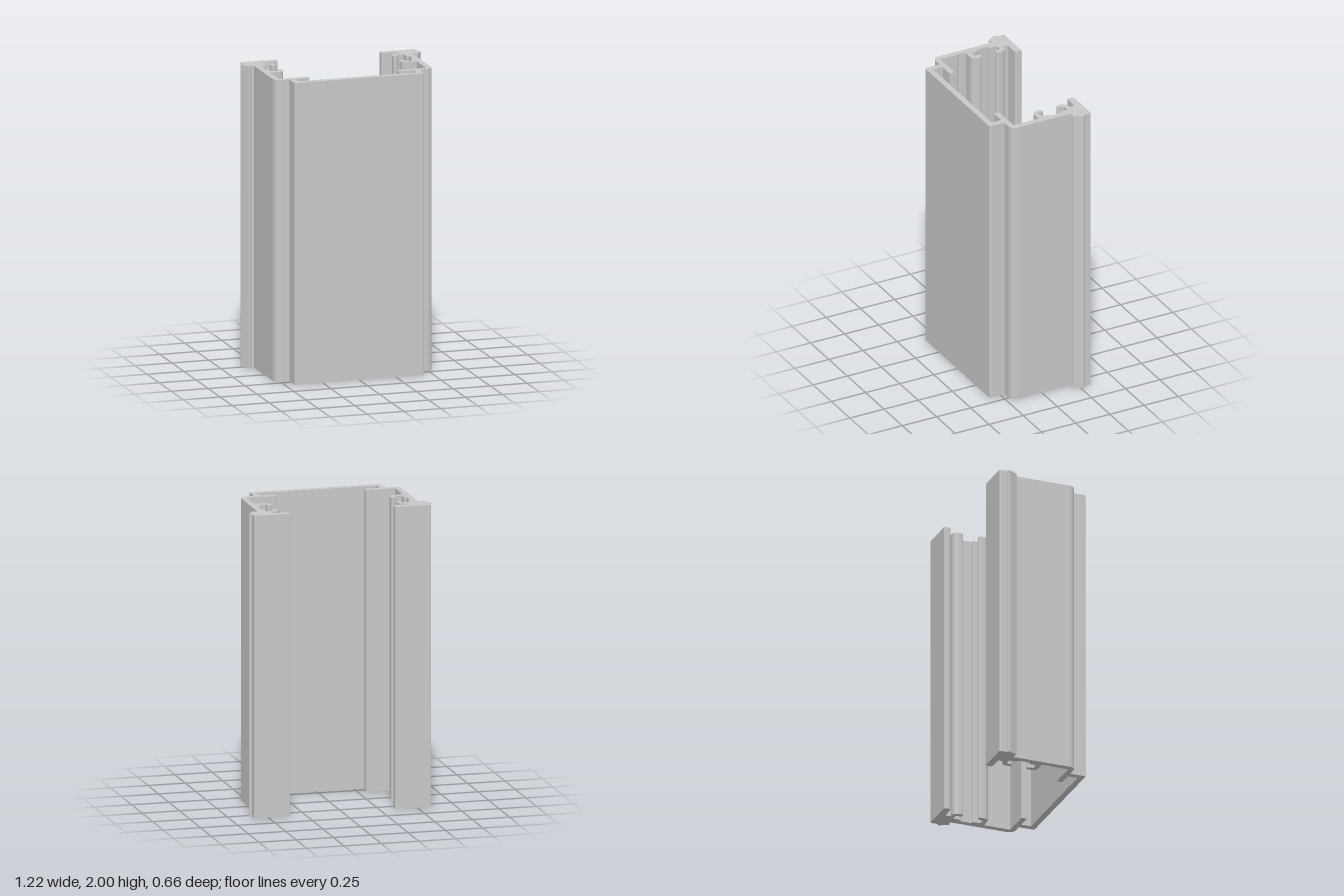
import * as THREE from 'three';

// Half of the cross-section as [x, z, corner radius], from front centre round to inner centre
const HALF = [
  // front plate edge, step and outer wall
  [0.44, 0.33, 0.008], [0.44, 0.222, 0.008], [0.538, 0.222, 0.045], [0.538, -0.211, 0],
  // outer barb
  [0.552, -0.218, 0.004], [0.573, -0.204, 0.008], [0.612, -0.27, 0.006], [0.593, -0.284, 0],
  // back flange
  [0.593, -0.332, 0.008], [0.351, -0.332, 0.008], [0.351, -0.285, 0.014], [0.454, -0.285, 0.008],
  [0.454, -0.248, 0.012],
  // rear hook
  [0.399, -0.248, 0.038], [0.399, -0.177, 0.015], [0.431, -0.177, 0.015], [0.431, -0.218, 0.012],
  [0.479, -0.218, 0.008],
  // groove
  [0.479, -0.165, 0.008], [0.499, -0.165, 0.008], [0.499, -0.082, 0.008], [0.479, -0.082, 0.008],
  // front hook
  [0.479, -0.03, 0.008], [0.431, -0.03, 0.012], [0.431, -0.072, 0.015], [0.399, -0.072, 0.015],
  [0.399, 0.002, 0.038], [0.497, 0.002, 0.008],
  // inner wall, inward tab and front plate inside
  [0.497, 0.185, 0.004], [0.301, 0.185, 0.006], [0.301, 0.222, 0.006], [0.399, 0.222, 0.008],
  [0.399, 0.29, 0.004],
];

// Notch in the inner wall of the right side
const NOTCH = [[-0.497, 0.034, 0], [-0.506, 0.047, 0.003], [-0.497, 0.06, 0]];

// Closed shape whose corners are rounded by their own radius
function roundedShape(points) {
  const shape = new THREE.Shape();
  const at = (i) => {
    const p = points[(i + points.length) % points.length];
    return new THREE.Vector2(p[0], -p[1]);
  };
  points.forEach(([, , r], i) => {
    const p = at(i);
    const toPrev = at(i - 1).sub(p).normalize();
    const toNext = at(i + 1).sub(p).normalize();
    const along = (d, k) => p.clone().addScaledVector(d, k);
    const a = along(toPrev, r), b = along(toNext, r);
    if (i === 0) shape.moveTo(a.x, a.y);
    else shape.lineTo(a.x, a.y);
    if (r > 0) {
      const c = along(toPrev, r * 0.45), d = along(toNext, r * 0.45);
      shape.bezierCurveTo(c.x, c.y, d.x, d.y, b.x, b.y);
    }
  });
  shape.closePath();
  return shape;
}

export function createModel() {
  const group = new THREE.Group();
  group.name = 'channelProfile';
  const metal = new THREE.MeshStandardMaterial({ color: 0xc8c8c8 });
  metal.name = 'light grey metal';

  // Mirror the half; the notch sits between the hook and the tab
  const mirrored = HALF.map(([x, z, r]) => [-x, z, r]);
  const tabStart = mirrored.findIndex(([x, z]) => x === -0.497 && z === 0.185);
  mirrored.splice(tabStart, 0, ...NOTCH);
  const shape = roundedShape([...HALF, ...mirrored.reverse()]);

  // Extrude upright; the fine segments keep flats even and fillets round
  const geometry = new THREE.ExtrudeGeometry(shape, { depth: 2, bevelEnabled: false, curveSegments: 10 });
  geometry.rotateX(-Math.PI / 2);

  const mesh = new THREE.Mesh(geometry, metal);
  mesh.name = 'extrudedFrame';
  group.add(mesh);
  return group;
}
